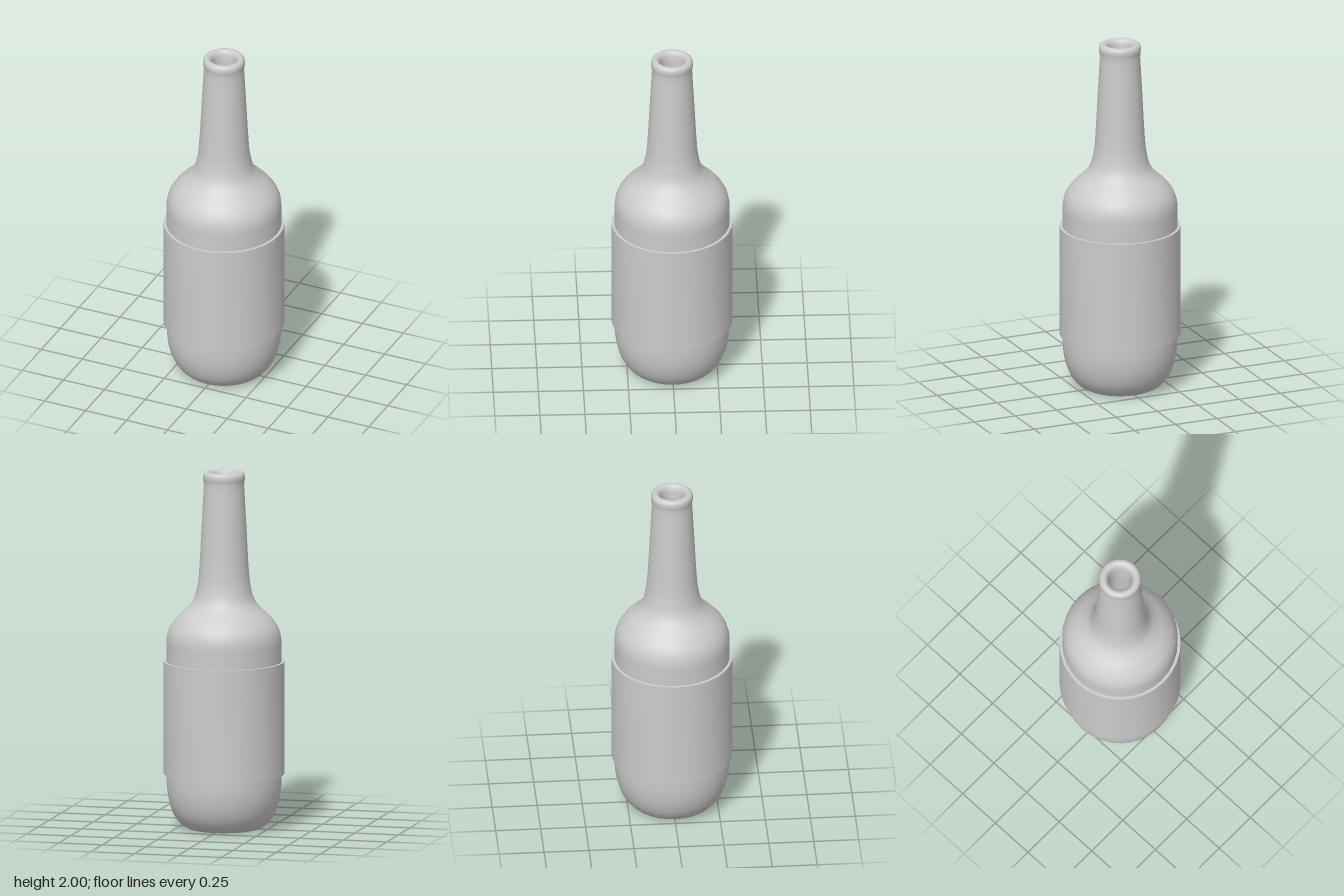
import * as THREE from 'three';
import { toCreasedNormals } from 'three/addons/utils/BufferGeometryUtils.js';

const SEGMENTS = 32;
const material = new THREE.MeshStandardMaterial({ color: 0xcccccc });
const toVectors = (pairs) => pairs.map(([r, y]) => new THREE.Vector2(r, y));

// Smooth run of profile points through a few [radius, height] pairs
const smooth = (pairs, steps) => new THREE.SplineCurve(toVectors(pairs)).getPoints(steps);

function lathePart(name, profile, crease) {
  const lathe = new THREE.LatheGeometry(profile, SEGMENTS);
  const mesh = new THREE.Mesh(crease ? toCreasedNormals(lathe, crease) : lathe, material);
  mesh.name = name;
  return mesh;
}

export function createModel() {
  const model = new THREE.Group();
  model.name = 'bottle';

  // Glass body: dished base, rounded heel, straight wall, shoulder, neck and lip
  const base = toVectors([[0, 0.02], [0.11, 0.018], [0.14, 0.01], [0.17, 0.002]]);
  const heel = smooth([[0.2, 0], [0.235, 0.02], [0.275, 0.07], [0.303, 0.14], [0.317, 0.22], [0.32, 0.3]], 15);
  const shoulder = smooth([
    [0.32, 1.04], [0.314, 1.09], [0.293, 1.14], [0.253, 1.19], [0.205, 1.235], [0.168, 1.285],
    [0.148, 1.36], [0.137, 1.46], [0.123, 1.72], [0.112, 1.92],
  ], 36);
  const lip = smooth([
    [0.113, 1.945], [0.117, 1.965], [0.115, 1.985], [0.105, 1.997], [0.092, 2],
    [0.078, 1.994], [0.068, 1.978], [0.063, 1.95], [0.061, 1.91],
  ], 20);

  // Hollow inside, running back down to the floor
  const inside = smooth([
    [0.06, 1.85], [0.075, 1.7], [0.1, 1.42], [0.125, 1.29], [0.175, 1.21],
    [0.25, 1.14], [0.285, 1.06], [0.29, 0.95],
  ], 18);
  const floor = toVectors([[0.29, 0.28], [0.26, 0.13], [0.2, 0.05], [0, 0.045]]);
  model.add(lathePart('bottleBody', [...base, ...heel, ...shoulder, ...lip, ...inside, ...floor]));

  // Wrapped label standing slightly proud of the wall
  const band = toVectors([[0.318, 0.305], [0.336, 0.305], [0.336, 0.935], [0.318, 0.935], [0.318, 0.305]]);
  model.add(lathePart('labelSleeve', band, 0.6));

  return model;
}
